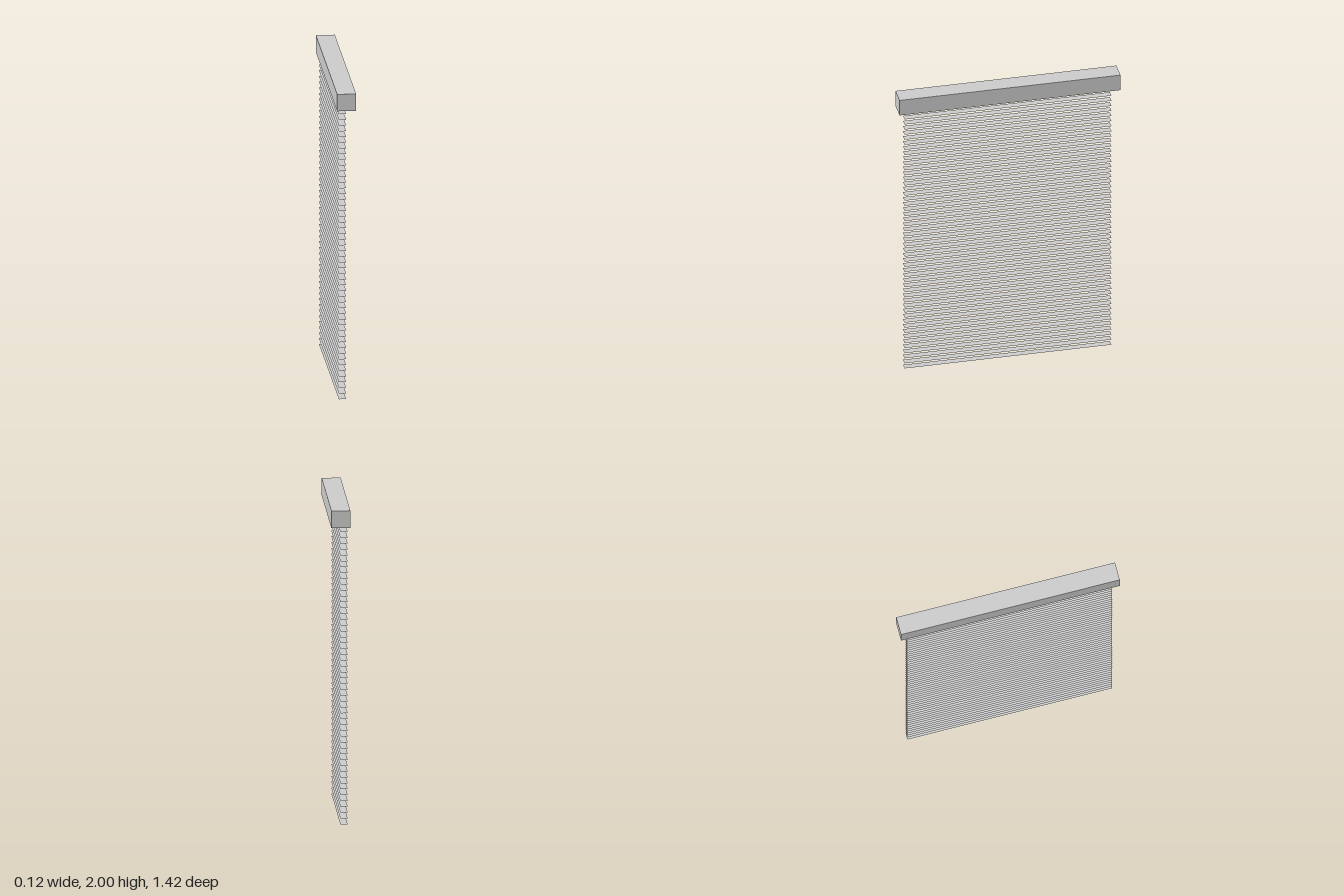
import * as THREE from 'three';

const HEIGHT = 2;
const RAIL = { width: 0.12, height: 0.11, length: 1.424 };
const SLAT = { width: 0.046, length: 1.334, count: 51, top: 1.858 };

export function createModel() {
  const model = new THREE.Group();
  model.name = 'windowBlind';

  const grey = new THREE.MeshStandardMaterial({ color: 0xcccccc });
  const slatMaterial = new THREE.MeshStandardMaterial({ color: 0xcccccc, side: THREE.DoubleSide });
  const black = new THREE.MeshStandardMaterial({ color: 0x050505 });

  // Head rail along the top
  const rail = new THREE.Mesh(new THREE.BoxGeometry(RAIL.width, RAIL.height, RAIL.length), grey);
  rail.name = 'headRail';
  rail.position.y = HEIGHT - RAIL.height / 2;
  model.add(rail);

  // Dark slot panel under the rail, leaving a narrow rim
  const slot = new THREE.Mesh(
    new THREE.BoxGeometry(RAIL.width - 0.034, 0.004, RAIL.length - 0.03), black);
  slot.name = 'railSlot';
  slot.position.y = HEIGHT - RAIL.height + 0.001;
  model.add(slot);

  // Paper-thin level slats, evenly spaced down to the floor
  const slats = new THREE.Group();
  slats.name = 'slats';
  const slatGeometry = new THREE.PlaneGeometry(SLAT.width, SLAT.length).rotateX(-Math.PI / 2);
  for (let i = 0; i < SLAT.count; i++) {
    const slat = new THREE.Mesh(slatGeometry, slatMaterial);
    slat.name = `slat${i + 1}`;
    slat.position.set(-0.022, SLAT.top * (1 - i / (SLAT.count - 1)), 0);
    slats.add(slat);
  }
  model.add(slats);

  return model;
}
